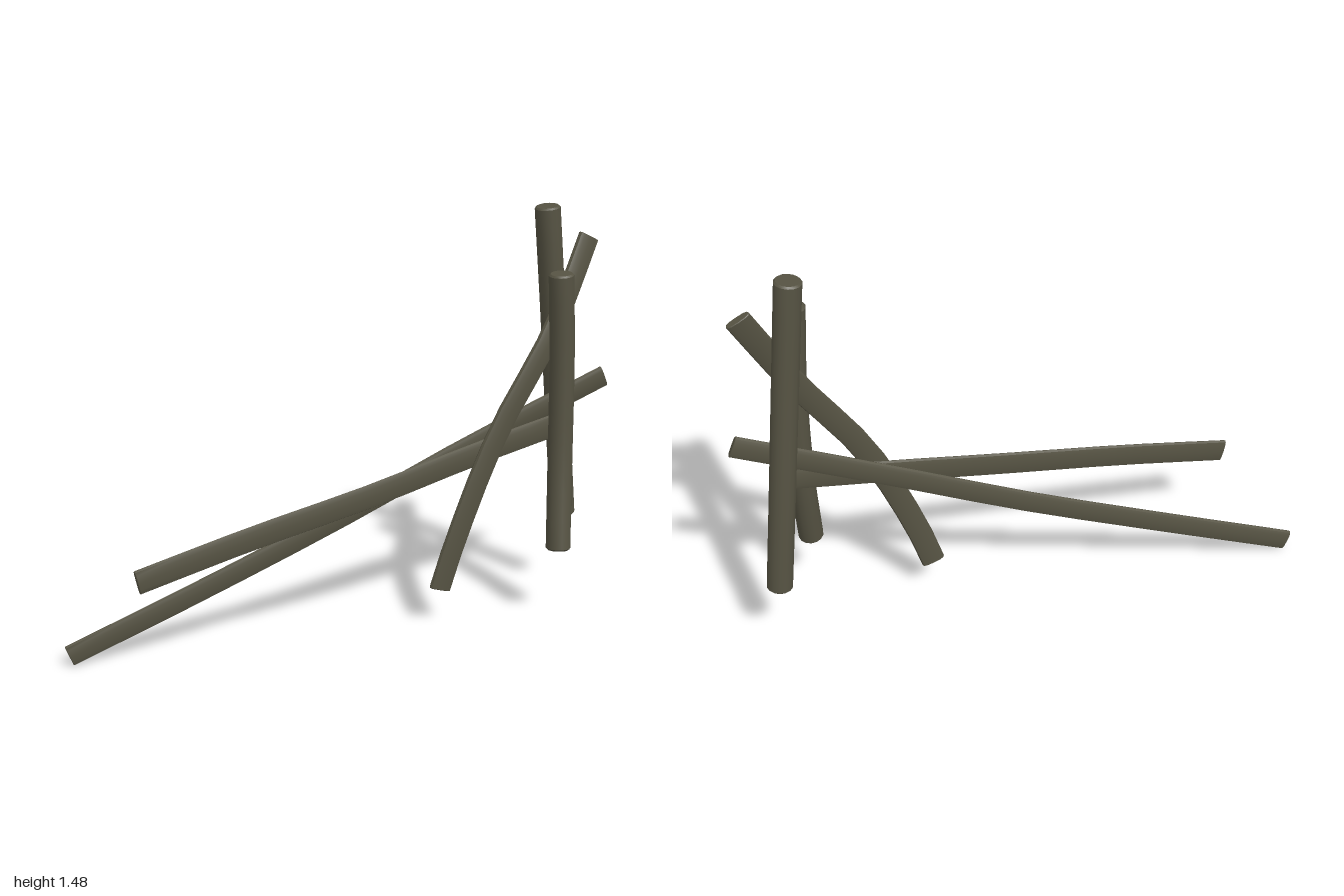
import * as THREE from 'three';
import { toCreasedNormals } from 'three/addons/utils/BufferGeometryUtils.js';

// Sweeps a rounded section (half sizes across and deep) along a gently bent path.
function sweep(points, across, deep, { sides = 14, steps = 10, squareness = 1, bevel = 0.006 } = {}) {
  const curve = new THREE.CatmullRomCurve3(points.map((p) => new THREE.Vector3(...p)));
  const positions = [], index = [];
  const power = (v) => Math.sign(v) * Math.abs(v) ** squareness;

  // Rings: an inset one at each end gives the cut a small chamfer
  const length = curve.getLength();
  const rings = [[0, bevel]];
  for (let i = 0; i <= steps; i++) {
    const u = i === 0 ? bevel / length : i === steps ? 1 - bevel / length : i / steps;
    rings.push([u, 0]);
  }
  rings.push([1, bevel]);

  for (const [u, inset] of rings) {
    const center = curve.getPointAt(u);
    const along = curve.getTangentAt(u);
    const out = new THREE.Vector3(0, 0, 1).addScaledVector(along, -along.z).normalize();
    const side = new THREE.Vector3().crossVectors(out, along);
    for (let j = 0; j < sides; j++) {
      const a = (j / sides) * Math.PI * 2;
      const p = center.clone()
        .addScaledVector(side, power(Math.cos(a)) * (across - inset))
        .addScaledVector(out, power(Math.sin(a)) * (deep - inset));
      positions.push(p.x, p.y, p.z);
    }
  }
  for (let i = 0; i < rings.length - 1; i++) {
    for (let j = 0; j < sides; j++) {
      const a = i * sides + j, b = i * sides + (j + 1) % sides;
      index.push(a, b, a + sides, b, b + sides, a + sides);
    }
  }

  // End cuts
  const last = (rings.length - 1) * sides;
  for (let j = 1; j < sides - 1; j++) {
    index.push(0, j + 1, j, last, last + j, last + j + 1);
  }

  const geometry = new THREE.BufferGeometry();
  geometry.setAttribute('position', new THREE.Float32BufferAttribute(positions, 3));
  geometry.setIndex(index);
  return toCreasedNormals(geometry, 0.7);
}

export function createModel() {
  const group = new THREE.Group();
  const wood = new THREE.MeshStandardMaterial({ color: 0x565343 });
  wood.name = 'weathered wood';

  const add = (name, geometry) => {
    const mesh = new THREE.Mesh(geometry, wood);
    mesh.name = name;
    group.add(mesh);
  };

  // Round upright posts
  add('frontPost', sweep(
    [[0.72, 0.28, 0.152], [0.74, 0.6, 0.108], [0.738, 0.98, 0.098], [0.717, 1.28, 0.107]],
    0.044, 0.044));
  add('backPost', sweep(
    [[0.888, 0.307, -0.102], [0.842, 0.7, -0.088], [0.795, 1.1, -0.07], [0.752, 1.482, -0.061]],
    0.045, 0.046));

  // Split rails, thin from front to back
  const rail = { sides: 12, squareness: 0.7, bevel: 0.002 };
  add('longRail', sweep(
    [[-0.992, 0.046, -0.188], [-0.5, 0.235, -0.142], [0, 0.437, -0.1], [0.45, 0.637, -0.058], [0.975, 0.857, 0]],
    0.04, 0.013, rail));
  add('shortRail', sweep(
    [[-0.803, 0.365, 0.02], [-0.4, 0.452, 0.014], [0.05, 0.537, 0.008], [0.45, 0.623, -0.008], [0.855, 0.702, -0.018]],
    0.044, 0.012, rail));
  add('leaningRail', sweep(
    [[0.312, 0.147, 0.025], [0.37, 0.33, 0.031], [0.53, 0.705, 0.028], [0.75, 1.05, 0.008], [0.915, 1.365, -0.045]],
    0.042, 0.014, rail));

  return group;
}
